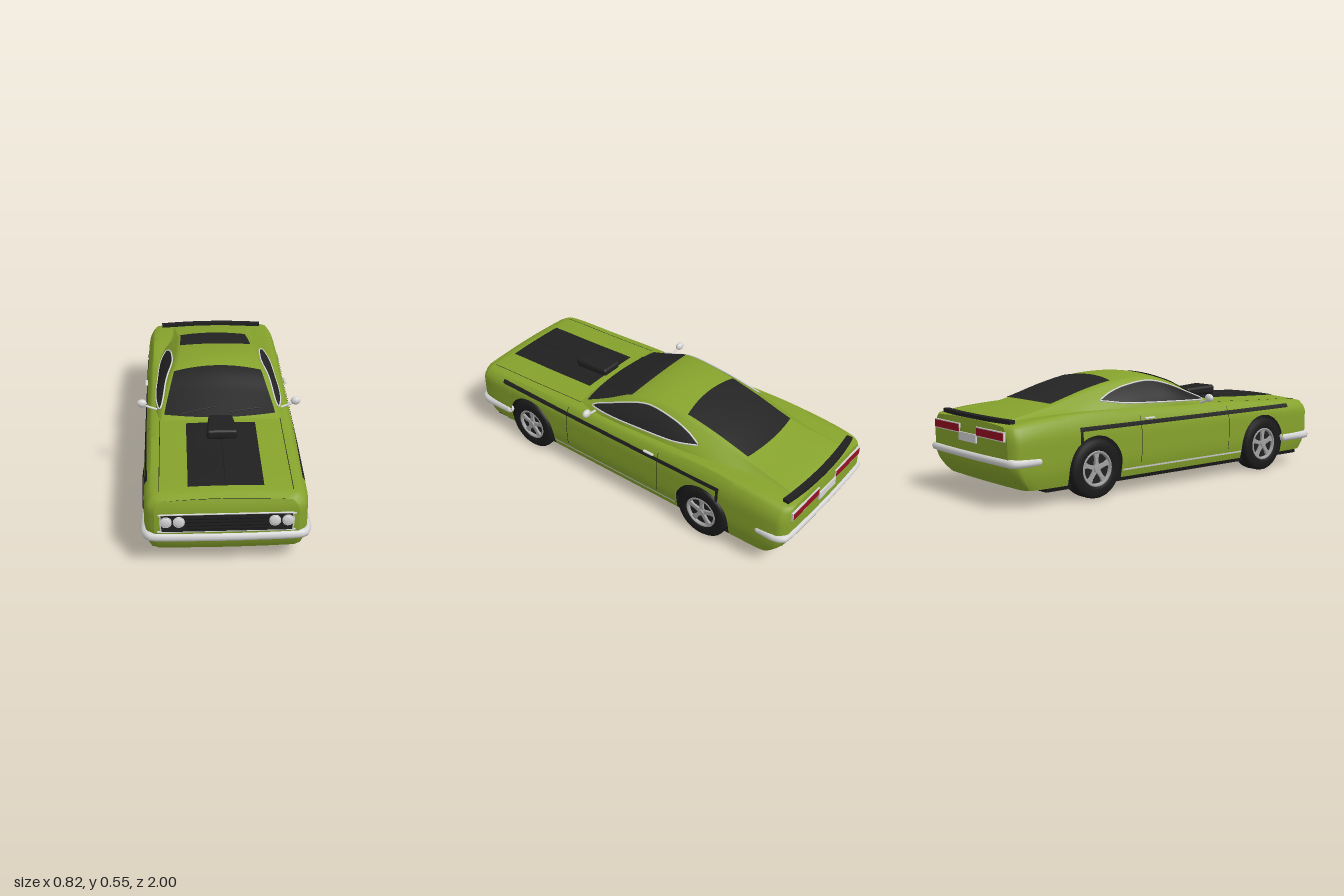
import * as THREE from 'three';
import { RoundedBoxGeometry } from 'three/addons/geometries/RoundedBoxGeometry.js';

const mat = (name, color) => new THREE.MeshStandardMaterial({ name, color, side: THREE.DoubleSide });
const range = (a, b, n) => Array.from({ length: n + 1 }, (_, i) => a + (b - a) * i / n);
const clamp01 = v => Math.min(1, Math.max(0, v));

// Smooth interpolation through [z, value] keys sorted by z
function curve(keys) {
  const slope = i => {
    const a = keys[Math.max(0, i - 1)], b = keys[Math.min(keys.length - 1, i + 1)];
    return (b[1] - a[1]) / (b[0] - a[0]);
  };
  return z => {
    if (z <= keys[0][0]) return keys[0][1];
    if (z >= keys[keys.length - 1][0]) return keys[keys.length - 1][1];
    let i = 0;
    while (z > keys[i + 1][0]) i++;
    const [z0, a] = keys[i], [z1, b] = keys[i + 1], h = z1 - z0, t = (z - z0) / h;
    return a * (1 + 2 * t) * (1 - t) ** 2 + b * t * t * (3 - 2 * t)
      + h * (slope(i) * t * (1 - t) ** 2 + slope(i + 1) * t * t * (t - 1));
  };
}

// Surface patch from a rule f(u, v) -> [x, y, z]
function grid(us, vs, f) {
  const pos = [], idx = [], n = us.length;
  for (const v of vs) for (const u of us) pos.push(...f(u, v));
  for (let j = 0; j < vs.length - 1; j++) for (let i = 0; i < n - 1; i++) {
    const a = j * n + i;
    idx.push(a, a + 1, a + n, a + 1, a + n + 1, a + n);
  }
  const g = new THREE.BufferGeometry();
  g.setAttribute('position', new THREE.Float32BufferAttribute(pos, 3));
  g.setIndex(idx);
  g.computeVertexNormals();
  return g;
}

const tube = (pts, r, closed = false, n = 48) => new THREE.TubeGeometry(
  new THREE.CatmullRomCurve3(pts.map(p => new THREE.Vector3(...p)), closed, 'catmullrom', 0.3), n, r, 8, closed);

// Lower body rules: half width, shoulder height, centre height, wheel arches
const REAR = -0.975, FRONT = 0.98, AXLES = [0.6, -0.52], WHEEL = 0.142, ARCH = 0.155;
const width = curve([[-0.975, 0.318], [-0.96, 0.345], [-0.93, 0.362], [-0.8, 0.369], [0, 0.37], [0.8, 0.367], [0.92, 0.362], [0.96, 0.347], [0.98, 0.318]]);
const shoulder = curve([[-0.975, 0.37], [-0.8, 0.392], [-0.55, 0.405], [-0.3, 0.4], [0, 0.388], [0.3, 0.38], [0.6, 0.365], [0.93, 0.35], [0.98, 0.335]]);
const centre = curve([[-0.975, 0.38], [-0.3, 0.392], [0.3, 0.392], [0.6, 0.378], [0.93, 0.363], [0.98, 0.345]]);
const bottom = z => AXLES.reduce((y, c) => {
  const d = Math.abs(z - c);
  return d <= ARCH ? Math.max(y, WHEEL + Math.sqrt(ARCH * ARCH - d * d)) : y;
}, 0.08);
const bodyX = (z, y) => width(z) * (y < 0.2 ? 1 - 0.07 * ((0.2 - y) / 0.14) ** 2
  : y > 0.28 ? 1 - 0.1 * clamp01((y - 0.28) / (shoulder(z) - 0.28)) ** 2.5 : 1);
const bend = (z, y) => {
  if (z > 0.8) return z - (z - 0.8) / 0.2 * (y < 0.2 ? 0.05 * ((0.2 - y) / 0.13) ** 2 : y > 0.28 ? 0.022 * ((y - 0.28) / 0.08) ** 2 : 0);
  if (z < -0.8) return z + (-0.8 - z) / 0.18 * (y < 0.22 ? 0.07 * ((0.22 - y) / 0.13) ** 2 : 0);
  return z;
};
const hoodY = (z, x) => shoulder(z) + (centre(z) - shoulder(z)) * (1 - (x / (0.9 * width(z))) ** 2);
// u runs from the left sill (-1) over the top (0) to the right sill (1)
const bodyPoint = (u, z) => {
  const a = 1 - Math.abs(u), s = u < 0 ? 1 : -1, yb = bottom(z);
  let x, y;
  if (a <= 0.6) { y = yb + (shoulder(z) - yb) * a / 0.6; x = bodyX(z, y); }
  else { x = 0.9 * width(z) * (1 - a) / 0.4; y = hoodY(z, x); }
  return [s * x, y, bend(z, y)];
};

// Cabin rules: base half width, roof edge and roof centre along z
const baseX = curve([[-0.96, 0.27], [-0.67, 0.3], [-0.45, 0.317], [-0.1, 0.322], [0.15, 0.32], [0.34, 0.31]]);
const edgeX = curve([[-0.96, 0.24], [-0.9, 0.22], [-0.67, 0.197], [-0.45, 0.196], [-0.28, 0.2], [-0.1, 0.21], [0.02, 0.232], [0.15, 0.262], [0.27, 0.285], [0.34, 0.29]]);
const edgeY = curve([[-0.96, 0.368], [-0.9, 0.384], [-0.67, 0.427], [-0.45, 0.487], [-0.28, 0.521], [-0.1, 0.532], [0.02, 0.51], [0.15, 0.446], [0.27, 0.395], [0.34, 0.372]]);
const topY = curve([[-0.96, 0.374], [-0.9, 0.392], [-0.67, 0.438], [-0.45, 0.499], [-0.28, 0.536], [-0.1, 0.55], [0.02, 0.53], [0.15, 0.468], [0.27, 0.411], [0.34, 0.378]]);
const bulge = curve([[-0.7, -0.012], [-0.4, 0.016], [-0.1, 0.02], [0.1, 0.018], [0.32, 0]]);
const cabinX = (z, y) => {
  const t = clamp01((y - 0.365) / (edgeY(z) - 0.365));
  return baseX(z) + (edgeX(z) - baseX(z)) * t + bulge(z) * Math.sin(Math.PI * t);
};
const roofY = (z, x) => edgeY(z) + (topY(z) - edgeY(z)) * (1 - (x / edgeX(z)) ** 2);
const cabinPoint = (u, z) => {
  const a = 1 - Math.abs(u), s = u < 0 ? 1 : -1;
  if (a < 0.5) { const y = 0.365 + (edgeY(z) - 0.365) * a * 2; return [s * cabinX(z, y), y, z]; }
  const x = edgeX(z) * (2 - 2 * a);
  return [s * x, roofY(z, x), z];
};

export function createModel() {
  const car = new THREE.Group();
  car.name = 'coupe';
  const paint = mat('green paint', 0x86a32c), black = mat('black trim', 0x202020), glass = mat('dark glass', 0x242425),
    chrome = mat('chrome', 0xd6d6d6), rubber = mat('tyre rubber', 0x1a1a1a), alloy = mat('wheel alloy', 0xa0a0a0),
    red = mat('tail light red', 0x960f22), steel = mat('exhaust steel', 0x5a5857), under = mat('underbody black', 0x161616);
  const add = (name, geo, m, p = [0, 0, 0], parent = car) => {
    const mesh = new THREE.Mesh(geo, m);
    mesh.name = name;
    mesh.position.set(...p);
    parent.add(mesh);
    return mesh;
  };
  const both = (name, geo, m) => {
    add(name + 'Left', geo, m);
    add(name + 'Right', geo, m).scale.x = -1;
  };
  const box = (w, h, d) => new THREE.BoxGeometry(w, h, d);

  // Body shell, end panels and floor
  const arcs = AXLES.flatMap(c => [...range(0, Math.PI, 20).map(a => c + ARCH * Math.cos(a)), c - ARCH - 0.0005, c + ARCH + 0.0005]);
  const zs = [...range(REAR, FRONT, 46), ...arcs, 0.97, 0.96, 0.95, -0.967, -0.955, -0.945].sort((a, b) => a - b);
  add('bodyShell', grid(range(-1, 1, 50), zs, bodyPoint), paint);
  for (const [name, z, dir] of [['nosePanel', FRONT, 1], ['tailPanel', REAR, -1]])
    add(name, grid(range(-1, 1, 24), range(0, 1, 16), (s, t) => {
      const y = 0.08 + (shoulder(z) - 0.08) * t, arc = 1 - s * s;
      return [s * bodyX(z, y), y + (centre(z) - shoulder(z)) * t ** 6 * arc, bend(z, y) + dir * 0.008 * arc * (1 - t ** 6)];
    }), paint);
  add('floor', grid([-1, 1], range(REAR, FRONT, 40), (s, z) => [s * bodyX(z, 0.08), 0.08, bend(z, 0.08)]), under);
  add('underbodyPan', box(0.66, 0.035, 1.68), under, [0, 0.0755, 0.06]);
  add('wheelWellCore', box(0.6, 0.2, 1.7), under, [0, 0.19, 0]);

  // Cabin with windscreen, rear window and side windows
  add('cabin', grid(range(-1, 1, 48), range(-0.96, 0.34, 70), cabinPoint), paint);
  const screen = (z0, c0, z1, c1, k) => grid(range(-1, 1, 24), range(0, 1, 30), (s, t) => {
    const z = (z0 + c0 * s * s) * (1 - t) + (z1 + c1 * s * s) * t, x = s * k * edgeX(z);
    return [x, roofY(z, x) + 0.005, z + 0.002 * Math.sign(z0)];
  });
  add('windscreen', screen(0.305, -0.035, 0, 0.015, 0.96), glass);
  add('rearWindow', screen(-0.67, 0.02, -0.28, -0.02, 0.95), glass);
  const winLow = curve([[-0.42, 0.44], [-0.28, 0.421], [0.1, 0.406], [0.22, 0.402]]);
  const winTop = curve([[-0.42, 0.442], [-0.35, 0.472], [-0.25, 0.498], [-0.1, 0.514], [0, 0.495], [0.13, 0.445], [0.22, 0.408]]);
  const onCabin = (z, y, d) => [cabinX(z, y) + d, y + d * 0.5, z];
  both('sideWindow', grid(range(0, 1, 6), range(-0.42, 0.22, 36),
    (t, z) => onCabin(z, winLow(z) + (winTop(z) - winLow(z)) * t, 0.004)), glass);
  both('windowTrim', tube([...range(-0.42, 0.22, 14).map(z => onCabin(z, winLow(z), 0.004)),
    ...range(0.2, -0.4, 14).map(z => onCabin(z, winTop(z), 0.004))], 0.004, true, 90), chrome);
  for (const x0 of [-0.19, 0.04]) add('wiper', tube(range(0, 1, 5).map(t => {
    const x = x0 + 0.17 * t, z = 0.285 - 0.035 * t;
    return [x, roofY(z, x) + 0.01, z];
  }), 0.003), black);

  // Hood panel, ridge and scoop
  add('hoodPanel', grid(range(-0.168, 0.168, 10), range(0.35, 0.9, 20), (x, z) => [x, hoodY(z, x) + 0.004, z]), black);
  add('hoodRidge', tube(range(0.36, 0.89, 8).map(z => [0, hoodY(z, 0) + 0.003, z]), 0.004), black);
  const scoop = new RoundedBoxGeometry(0.15, 0.05, 0.19, 4, 0.016), sp = scoop.attributes.position;
  for (let i = 0; i < sp.count; i++) {
    const back = 0.5 - sp.getZ(i) / 0.19;
    sp.setX(i, sp.getX(i) * (1 - 0.22 * back));
    sp.setY(i, sp.getY(i) - 0.01 * back * (sp.getY(i) > 0 ? 1 : 0));
  }
  scoop.computeVertexNormals();
  add('hoodScoop', scoop, black, [0, 0.416, 0.43]);
  add('scoopBase', box(0.1, 0.025, 0.15), black, [0, 0.392, 0.43]);

  // Side stripes, sill trim and panel seams laid on the body
  const strip = (z0, z1, y0, y1, d = 0.003) => grid(range(y0, y1, 6), range(z0, z1, 40), (y, z) => [bodyX(z, y) + d, y, z]);
  both('sideStripe', strip(-0.615, 0.8, 0.322, 0.342), black);
  both('stripeTail', strip(-0.615, -0.6, 0.262, 0.322, 0.004), black);
  both('sillTrim', strip(-0.36, 0.44, 0.113, 0.122), chrome);
  for (const z of [0.34, -0.25]) both('doorSeam', strip(z - 0.0015, z + 0.0015, 0.14, 0.365, 0.002), black);
  both('hoodSeam', grid([0.2935, 0.2965], range(0.3, 0.92, 24), (x, z) => [x, hoodY(z, x) + 0.002, z]), black);
  both('doorHandle', new RoundedBoxGeometry(0.014, 0.01, 0.06, 2, 0.004).translate(0.371, 0.352, -0.2), chrome);

  // Bumpers wrapping round the corners
  const bumper = (name, y, r, zSide, zCorner, zEnd) => {
    const half = [[0.356, y, zSide], [0.358, y, zCorner], [0.34, y, zCorner + (zEnd - zCorner) * 0.75], [0.27, y, zEnd * 0.995]];
    add(name, tube([...half, [0, y, zEnd], ...half.reverse().map(p => [-p[0], p[1], p[2]])], r, false, 80), chrome);
    both(name + 'End', new THREE.SphereGeometry(r, 16, 10).translate(0.356, y, zSide), chrome);
  };
  bumper('frontBumper', 0.158, 0.0225, 0.775, 0.92, 0.978);
  bumper('rearBumper', 0.21, 0.02, -0.84, -0.92, -0.977);

  // Grille, frame and headlights
  const side = [[0.277, 0.277], [0.288, 0.27], [0.293, 0.24], [0.287, 0.196], [0.278, 0.19]];
  const outline = [...side, ...side.map(p => [-p[0], p[1]]).reverse()];
  const grille = new THREE.Shape(outline.map(p => new THREE.Vector2(...p)));
  add('grille', new THREE.ExtrudeGeometry(grille, { depth: 0.02, bevelEnabled: false }), black, [0, 0, 0.97]);
  add('grilleFrame', tube(outline.map(p => [...p, 0.987]), 0.004, true, 100), chrome);
  for (const y of [0.205, 0.222, 0.239, 0.256]) add('grilleSlat', box(0.36, 0.004, 0.006), under, [0, y, 0.991]);
  for (const x of [0.267, 0.21]) {
    both('headlight', new THREE.CylinderGeometry(0.026, 0.026, 0.025, 28).rotateX(Math.PI / 2).translate(x, 0.243, 0.984), chrome);
    both('headlightLens', new THREE.SphereGeometry(0.023, 24, 12).scale(1, 1, 0.25).translate(x, 0.243, 0.996), chrome);
  }

  // Tail lights, number plate and spoiler
  both('tailLightFrame', box(0.232, 0.044, 0.014).translate(0.19, 0.327, -0.978), chrome);
  both('tailLight', box(0.222, 0.034, 0.016).translate(0.19, 0.327, -0.979), red);
  add('numberPlate', box(0.15, 0.04, 0.016), chrome, [0, 0.292, -0.981]);
  const lip = new THREE.Shape();
  lip.moveTo(-0.29, 0.915);
  lip.quadraticCurveTo(0, 0.955, 0.29, 0.915);
  lip.lineTo(0.292, 0.945);
  lip.quadraticCurveTo(0, 1.0, -0.292, 0.945);
  add('spoiler', new THREE.ExtrudeGeometry(lip, { depth: 0.018, bevelEnabled: false, curveSegments: 24 }).rotateX(-Math.PI / 2), black, [0, 0.378, 0]);

  // Door mirrors
  both('mirror', new THREE.SphereGeometry(0.024, 20, 14).scale(1.05, 0.88, 0.7).translate(0.385, 0.42, 0.18), chrome);
  both('mirrorStalk', tube([[0.31, 0.39, 0.19], [0.34, 0.398, 0.185], [0.38, 0.412, 0.18]], 0.006, false, 12), chrome);

  // Wheels
  const lathe = pts => new THREE.LatheGeometry(pts.map(p => new THREE.Vector2(...p)), 40).rotateZ(-Math.PI / 2);
  const tyre = lathe([[0.001, -0.05], [0.08, -0.05], [0.13, -0.048], [0.14, -0.038], [0.142, -0.025], [0.142, 0.025], [0.14, 0.038], [0.13, 0.048], [0.1, 0.052], [0.084, 0.046]]);
  const rim = lathe([[0.085, 0.046], [0.08, 0.05], [0.073, 0.046], [0.071, 0.034]]);
  const dish = lathe([[0.001, 0.03], [0.085, 0.03]]);
  const hub = new THREE.CylinderGeometry(0.017, 0.02, 0.022, 20).rotateZ(-Math.PI / 2);
  const spokeShape = new THREE.Shape([[-0.011, 0.01], [0.011, 0.01], [0.009, 0.05], [0.016, 0.076], [-0.016, 0.076], [-0.009, 0.05]].map(p => new THREE.Vector2(...p)));
  const spoke = new THREE.ExtrudeGeometry(spokeShape, { depth: 0.012, bevelEnabled: false }).rotateY(Math.PI / 2);
  for (const z of AXLES) for (const s of [1, -1]) {
    const wheel = new THREE.Group();
    wheel.name = (z > 0 ? 'front' : 'rear') + (s > 0 ? 'Left' : 'Right') + 'Wheel';
    wheel.position.set(s * 0.325, WHEEL, z);
    wheel.scale.x = s;
    add('tyre', tyre, rubber, [0, 0, 0], wheel);
    add('rim', rim, alloy, [0, 0, 0], wheel);
    add('rimDish', dish, black, [0, 0, 0], wheel);
    add('hub', hub, alloy, [0.038, 0, 0], wheel);
    for (let i = 0; i < 5; i++) add('spoke', spoke, alloy, [0.031, 0, 0], wheel).rotation.x = i * Math.PI * 0.4;
    car.add(wheel);
  }

  // Exhaust and axles under the floor
  add('exhaustPipe', new THREE.CylinderGeometry(0.009, 0.009, 1.24, 12).rotateX(Math.PI / 2), steel, [0.035, 0.053, -0.12]);
  add('resonator', new RoundedBoxGeometry(0.06, 0.024, 0.15, 3, 0.01), steel, [0.035, 0.053, 0.07]);
  add('muffler', new THREE.CapsuleGeometry(0.045, 0.28, 6, 16).rotateZ(Math.PI / 2).scale(1, 0.4, 1), steel, [0.035, 0.06, -0.73]);
  for (const z of AXLES) add('axle', new THREE.CylinderGeometry(0.015, 0.015, 0.56, 12).rotateZ(Math.PI / 2), under, [0, 0.062, z]);
  return car;
}
